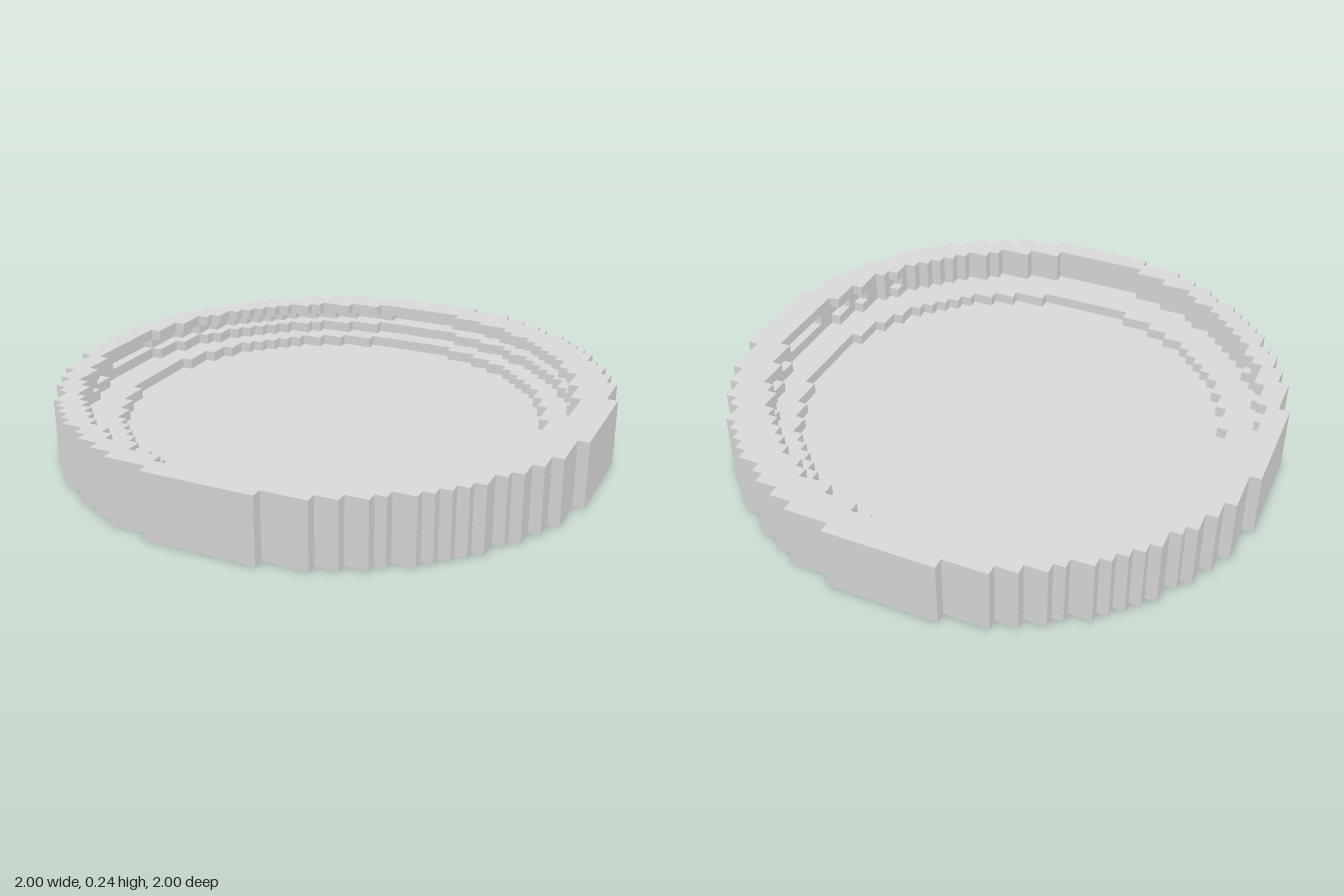
import * as THREE from 'three';

const CELL = 0.04; // edge of one block

// Test for cells whose centre lies inside a circle
const disc = (cx, cz, r) => (x, z) => Math.hypot(x - cx, z - cz) <= r;

// Stepped clockwise outline of all cells accepted by a test, as points (x, -z)
function outline(inside) {
  const right = [], left = [];
  for (let j = -25; j < 25; j++) {
    let min = Infinity, max = -Infinity;
    for (let i = -25; i < 25; i++) {
      if (!inside((i + 0.5) * CELL, (j + 0.5) * CELL)) continue;
      min = Math.min(min, i);
      max = Math.max(max, i + 1);
    }
    if (max === -Infinity) continue;
    for (const [side, i] of [[right, max], [left, min]]) {
      const last = side[side.length - 1];
      if (last && last[0] === i) last[1] = j + 1; // lengthen a straight run
      else side.push([i, j], [i, j + 1]);
    }
  }
  return [...right, ...left.reverse()].map(([i, j]) => new THREE.Vector2(i * CELL, -j * CELL));
}

export function createModel() {
  const group = new THREE.Group();
  group.name = 'roundTray';
  const grey = new THREE.MeshStandardMaterial({ color: 0xd9d9d9 });
  grey.name = 'lightGrey';

  const outer = disc(0, 0, 1);
  const well = disc(-0.02, -0.02, 0.78);
  const opening = disc(-0.02, 0.02, 0.898);
  const slotDisc = disc(-0.02, -0.02, 0.93);
  const slot = (x, z) => opening(x, z) || slotDisc(x, z);

  // Layers from the bottom up: name, bottom, top, hole
  const layers = [
    ['base', 0, 0.08, null],
    ['ledge', 0.08, 0.12, well],
    ['lowerWall', 0.12, 0.16, opening],
    ['slottedWall', 0.16, 0.2, slot],
    ['rimLip', 0.2, 0.24, opening],
  ];
  for (const [name, y0, y1, hole] of layers) {
    const shape = new THREE.Shape(outline(outer));
    // Holes run the other way round, so their walls face inwards
    if (hole) shape.holes.push(new THREE.Path(outline(hole).reverse()));
    const geo = new THREE.ExtrudeGeometry(shape, { depth: y1 - y0, bevelEnabled: false });
    geo.rotateX(-Math.PI / 2);
    const mesh = new THREE.Mesh(geo, grey);
    mesh.name = name;
    mesh.position.y = y0;
    group.add(mesh);
  }
  return group;
}
